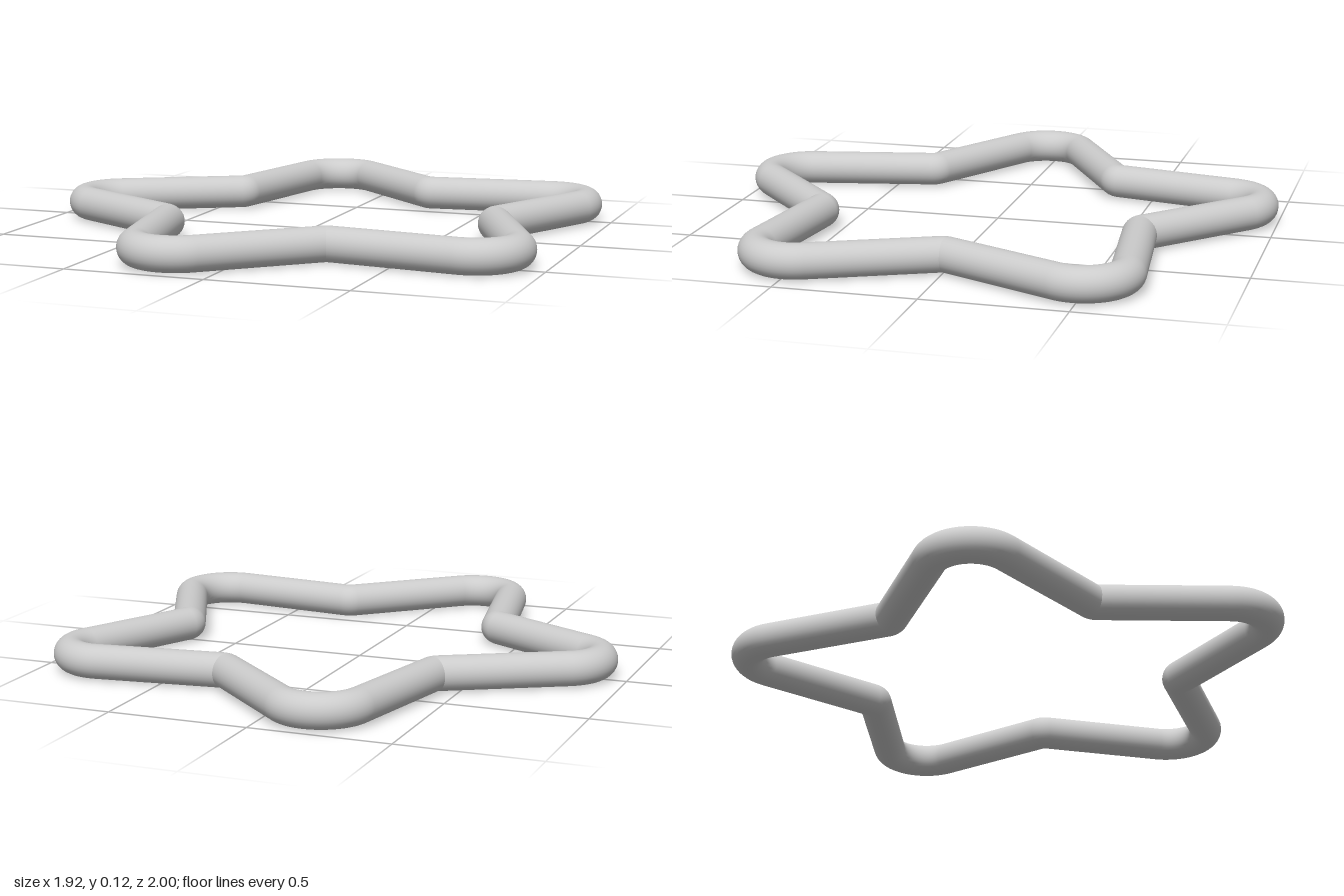
import * as THREE from 'three';

const TUBE = 0.0615;              // radius of the round bar
const CENTRE_X = 0.08;            // star centre, one tip points to -x
const TIP = { reach: 1.131, bend: 0.145, steps: 24 };
const NOTCH = { reach: 0.61, bend: 0.03, steps: 6 };
const SIDES = 32;

// Centre line of the star: ten corners, each rounded by an arc
function starPath() {
  const corners = [];
  for (let i = 0; i < 10; i++) {
    const kind = i % 2 ? NOTCH : TIP;
    const a = Math.PI + (i * Math.PI) / 5;
    corners.push({ kind, p: new THREE.Vector2(CENTRE_X + kind.reach * Math.cos(a), kind.reach * Math.sin(a)) });
  }
  const path = [];
  corners.forEach(({ kind, p }, i) => {
    const before = corners[(i + 9) % 10].p, after = corners[(i + 1) % 10].p;
    const dirIn = p.clone().sub(before).normalize();
    const dirOut = after.clone().sub(p).normalize();
    const turn = Math.atan2(dirIn.cross(dirOut), dirIn.dot(dirOut));
    const heading = Math.atan2(dirIn.y, dirIn.x);
    const radius = kind.bend * Math.sign(turn);
    const start = p.clone().addScaledVector(dirIn, -kind.bend * Math.tan(Math.abs(turn) / 2));
    const normalAt = (h) => new THREE.Vector2(Math.sin(h), -Math.cos(h));
    const centre = start.clone().addScaledVector(normalAt(heading), -radius);
    for (let k = 0; k <= kind.steps; k++) {
      const normal = normalAt(heading + (turn * k) / kind.steps);
      path.push({ point: centre.clone().addScaledVector(normal, radius), normal });
    }
  });
  return path;
}

// Sweep a circle along the closed flat path
function sweepCircle(path) {
  const positions = [], normals = [], index = [];
  path.forEach(({ point, normal }, i) => {
    const next = ((i + 1) % path.length) * SIDES;
    for (let j = 0; j < SIDES; j++) {
      const b = (j / SIDES) * Math.PI * 2;
      const nx = normal.x * Math.cos(b), ny = Math.sin(b), nz = normal.y * Math.cos(b);
      positions.push(point.x + TUBE * nx, TUBE + TUBE * ny, point.y + TUBE * nz);
      normals.push(nx, ny, nz);
      const k = (j + 1) % SIDES, ring = i * SIDES;
      index.push(ring + j, ring + k, next + j, ring + k, next + k, next + j);
    }
  });
  const geometry = new THREE.BufferGeometry();
  geometry.setAttribute('position', new THREE.Float32BufferAttribute(positions, 3));
  geometry.setAttribute('normal', new THREE.Float32BufferAttribute(normals, 3));
  geometry.setIndex(index);
  return geometry;
}

export function createModel() {
  const group = new THREE.Group();
  group.name = 'starRing';
  const bar = new THREE.Mesh(sweepCircle(starPath()), new THREE.MeshStandardMaterial({ color: 0xcccccc }));
  bar.name = 'starTube';
  group.add(bar);
  return group;
}
